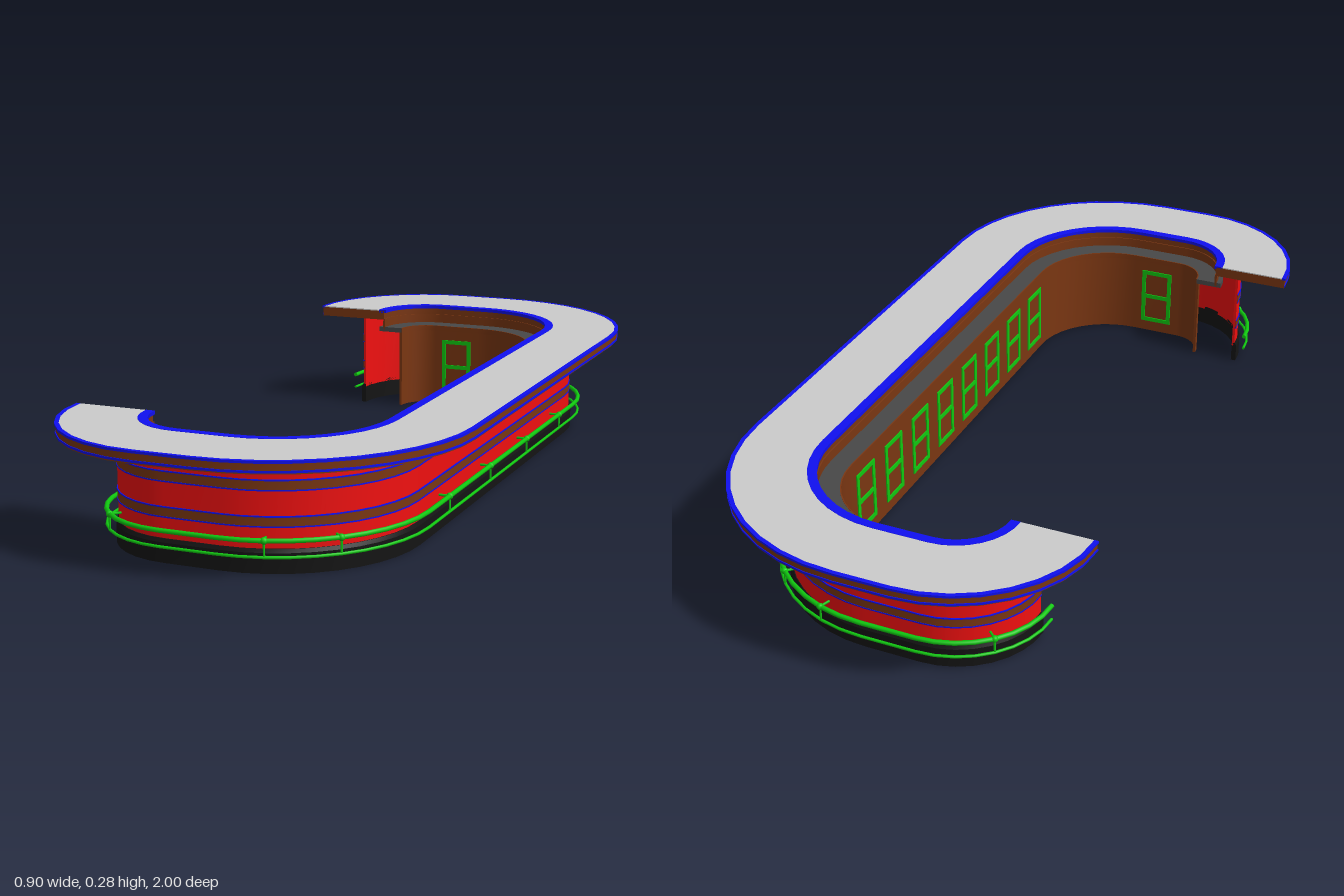
import * as THREE from 'three';

const mat = (color) => new THREE.MeshStandardMaterial({ color, side: THREE.DoubleSide });
const M = {
  grey: mat(0xcccccc), dark: mat(0x484848), black: mat(0x141414), red: mat(0xf01010),
  blue: mat(0x1010f0), brown: mat(0x7a3612), green: mat(0x10c810),
};

// Corner centres: wide bend on the long side, tight bend at each open end
const BEND = { x: 0, z: -0.55 }, TIP = { x: -0.13, z: -0.675 }, STEP = 0.125;

// Plan line of the counter at distance d outward from the wide bend centre
function track(d) {
  const half = [];
  const arc = (c, r, from, to, n) => {
    for (let i = 0; i <= n; i++) {
      const a = from + (to - from) * i / n;
      half.push([c.x + r * Math.cos(a), c.z + r * Math.sin(a)]);
    }
  };
  arc(TIP, d - STEP, -Math.PI, -Math.PI / 2, 8);
  arc(BEND, d, -Math.PI / 2, 0, 10);
  return [...half, ...half.slice().reverse().map(([x, z]) => [x, -z])];
}

// Sweep a counter-clockwise convex profile of [d, y] points along the plan line
function sweep(name, profile, material, smooth = false) {
  const rails = profile.map(([d]) => track(d));
  const n = rails[0].length, m = profile.length;
  const pos = [], idx = [];
  const put = (j, i) => pos.push(rails[j][i][0], profile[j][1], rails[j][i][1]) / 3 - 1;
  if (smooth) {
    for (let j = 0; j < m; j++) for (let i = 0; i < n; i++) put(j, i);
  }
  for (let j = 0; j < m; j++) {
    const k = (j + 1) % m;
    let a0 = j * n, b0 = k * n;
    if (!smooth) {
      a0 = pos.length / 3;
      b0 = a0 + n;
      for (let i = 0; i < n; i++) put(j, i);
      for (let i = 0; i < n; i++) put(k, i);
    }
    for (let i = 0; i < n - 1; i++) {
      const a = a0 + i, b = b0 + i;
      idx.push(a, b, a + 1, b, b + 1, a + 1);
    }
  }
  // End caps
  for (const i of [0, n - 1]) {
    const s = pos.length / 3;
    for (let j = 0; j < m; j++) put(j, i);
    for (let j = 1; j < m - 1; j++) {
      if (i) idx.push(s, s + j, s + j + 1);
      else idx.push(s, s + j + 1, s + j);
    }
  }
  const g = new THREE.BufferGeometry();
  g.setAttribute('position', new THREE.Float32BufferAttribute(pos, 3));
  g.setIndex(idx);
  g.computeVertexNormals();
  const mesh = new THREE.Mesh(g, material);
  mesh.name = name;
  return mesh;
}

const band = (name, d0, d1, y0, y1, material) =>
  sweep(name, [[d0, y0], [d1, y0], [d1, y1], [d0, y1]], material);

function rail(name, d, y, r) {
  const ring = [];
  for (let i = 0; i < 8; i++) {
    const a = i * Math.PI / 4;
    ring.push([d + r * Math.cos(a), y + r * Math.sin(a)]);
  }
  return sweep(name, ring, M.green, true);
}

// Foot rail bracket: post, ball joint and stub into the wall
function bracket(x, z, angle) {
  const g = new THREE.Group();
  g.name = 'railBracket';
  const post = new THREE.Mesh(new THREE.CylinderGeometry(0.0025, 0.0025, 0.036, 6), M.green);
  post.position.y = 0.06;
  const ball = new THREE.Mesh(new THREE.SphereGeometry(0.008, 10, 8), M.green);
  ball.position.y = 0.078;
  const stub = new THREE.Mesh(new THREE.CylinderGeometry(0.003, 0.003, 0.03, 6), M.green);
  stub.rotation.z = Math.PI / 2;
  stub.position.set(-0.015, 0.078, 0);
  g.add(post, ball, stub);
  g.position.set(x, 0, z);
  g.rotation.y = -angle;
  return g;
}

// Cabinet door outline with two openings
function door(x, z, turn) {
  const w = 0.043, h = 0.078, t = 0.011;
  const rect = (P, x0, y0, x1, y1) => {
    const p = new P();
    p.moveTo(x0, y0); p.lineTo(x1, y0); p.lineTo(x1, y1); p.lineTo(x0, y1); p.closePath();
    return p;
  };
  const s = rect(THREE.Shape, -w, -h, w, h);
  s.holes.push(rect(THREE.Path, -w + t, -h + t, w - t, -t / 2), rect(THREE.Path, -w + t, t / 2, w - t, h - t));
  const mesh = new THREE.Mesh(new THREE.ExtrudeGeometry(s, { depth: 0.003, bevelEnabled: false }), M.green);
  mesh.name = 'cabinetDoorFrame';
  mesh.position.set(x, 0.108, z);
  mesh.rotation.y = turn;
  return mesh;
}

export function createModel() {
  const root = new THREE.Group();
  root.name = 'barCounter';

  // Counter top with coloured edge trims
  root.add(
    band('counterSlab', 0.255, 0.447, 0.247, 0.272, M.brown),
    band('counterSurface', 0.268, 0.443, 0.272, 0.275, M.grey),
    band('outerTopTrim', 0.440, 0.45, 0.270, 0.2755, M.blue),
    band('outerLowerTrim', 0.444, 0.449, 0.250, 0.255, M.blue),
    band('innerTopTrim', 0.250, 0.272, 0.267, 0.2755, M.blue),
  );

  // Outer wall, plinth and decorative bands
  root.add(
    band('outerWall', 0.312, 0.319, 0.045, 0.247, M.red),
    sweep('plinth', [[0.312, 0], [0.325, 0], [0.325, 0.045], [0.321, 0.053], [0.312, 0.053]], M.black),
  );
  for (const [y0, y1] of [[0.1, 0.122], [0.178, 0.2]]) {
    root.add(band('wallBand', 0.316, 0.3205, y0, y1, M.brown));
    for (const y of [y0, y1]) root.add(band('bandTrim', 0.316, 0.3215, y - 0.0015, y + 0.0015, M.blue));
  }

  // Staff side: riser, work shelf and cabinet wall
  root.add(
    band('riser', 0.252, 0.258, 0.215, 0.25, M.brown),
    band('workShelf', 0.201, 0.27, 0.213, 0.226, M.dark),
    band('shelfLip', 0.199, 0.202, 0.212, 0.2265, M.brown),
    band('cabinetWall', 0.2, 0.207, 0, 0.214, M.brown),
  );
  for (let i = 0; i < 8; i++) root.add(door(0.2, (i - 3.5) * 0.14, -Math.PI / 2));
  root.add(door(-0.065, -0.75, 0), door(-0.065, 0.75, Math.PI));

  // Foot rails and brackets
  const D = 0.345;
  root.add(rail('upperFootRail', D, 0.078, 0.0055), rail('lowerFootRail', D, 0.042, 0.0035));
  for (const z of [-0.42, -0.14, 0.14, 0.42]) root.add(bracket(D, z, 0));
  for (const side of [1, -1]) {
    const spots = [[BEND, D, -Math.PI / 4], [BEND, D, -Math.PI * 0.4], [TIP, D - STEP, -Math.PI * 0.75]];
    for (const [c, r, a] of spots) {
      root.add(bracket(c.x + r * Math.cos(a), side * (c.z + r * Math.sin(a)), side * a));
    }
  }
  return root;
}
